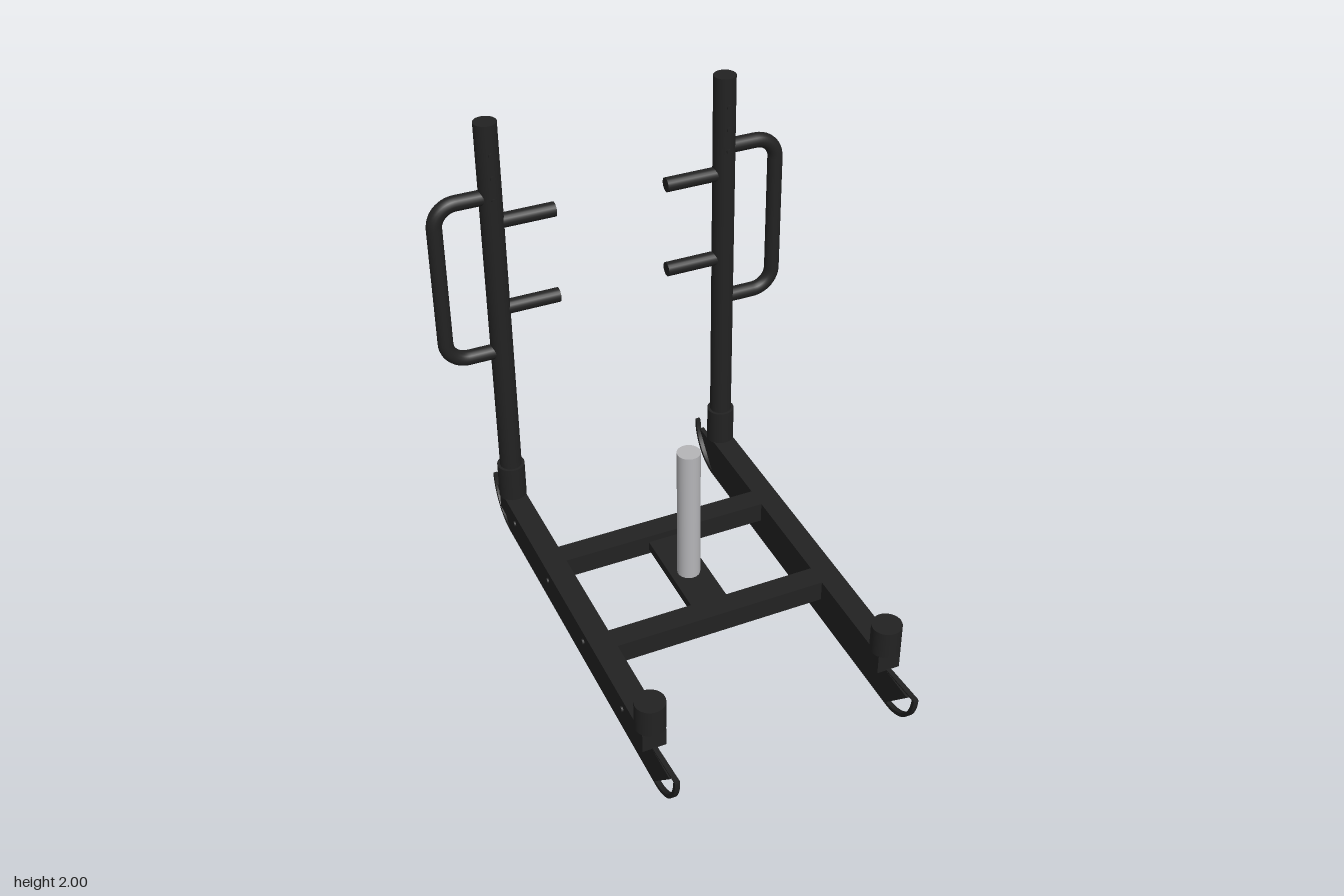
import * as THREE from 'three';

const black = new THREE.MeshStandardMaterial({ color: 0x222222 });
black.name = 'blackSteel';
const silver = new THREE.MeshStandardMaterial({ color: 0xb5b5b8 });
silver.name = 'silverSteel';

const RAIL_X = 0.49, POST_Z = -0.743, SKID = 0.02;

function add(parent, name, geometry, x = 0, y = 0, z = 0, material = black) {
  const mesh = new THREE.Mesh(geometry, material);
  mesh.name = name;
  mesh.position.set(x, y, z);
  parent.add(mesh);
  return mesh;
}

const box = (w, h, d) => new THREE.BoxGeometry(w, h, d);
const rod = (r, length, sides = 32) => new THREE.CylinderGeometry(r, r, length, sides);

// Side profile (drawn as z, y) extruded across x and centred
function sideExtrude(shape, width) {
  const g = new THREE.ExtrudeGeometry(shape, { depth: width, bevelEnabled: false, curveSegments: 20 });
  return g.translate(0, 0, -width / 2).rotateY(-Math.PI / 2);
}

// Tapered plate of the runner
function runnerPlate() {
  return new THREE.Shape([[-0.8, 0.012], [0.8, 0.012], [0.94, 0.165], [-0.94, 0.165]]
    .map(([z, y]) => new THREE.Vector2(z, y)));
}

// Thin ski strip, curled up at both ends
function skiStrip() {
  const s = new THREE.Shape();
  const r = 0.188, t = 0.016, e = 0.8;
  s.moveTo(-e - r, r);
  s.absarc(-e, r, r, Math.PI, Math.PI * 1.5, false);
  s.lineTo(e, 0);
  s.absarc(e, r, r, -Math.PI / 2, 0, false);
  s.lineTo(e + r - t, r);
  s.absarc(e, r, r - t, 0, -Math.PI / 2, true);
  s.lineTo(-e, t);
  s.absarc(-e, r, r - t, Math.PI * 1.5, Math.PI, true);
  s.closePath();
  return s;
}

// Outer push handle with two rounded corners
function handlePath(side) {
  const p = (x, y) => new THREE.Vector3(side * x, y, 0);
  const path = new THREE.CurvePath();
  const out = 0.72, top = 1.69, low = 0.99, r = 0.09;
  path.add(new THREE.LineCurve3(p(RAIL_X, top), p(out - r, top)));
  path.add(new THREE.CubicBezierCurve3(p(out - r, top), p(out - r * 0.45, top), p(out, top - r * 0.45), p(out, top - r)));
  path.add(new THREE.LineCurve3(p(out, top - r), p(out, low + r)));
  path.add(new THREE.CubicBezierCurve3(p(out, low + r), p(out, low + r * 0.45), p(out - r * 0.45, low), p(out - r, low)));
  path.add(new THREE.LineCurve3(p(out - r, low), p(RAIL_X, low)));
  return path;
}

function createSide(side) {
  const g = new THREE.Group();
  g.name = side > 0 ? 'leftSide' : 'rightSide';
  const x = side * RAIL_X;

  // Rail and runner
  add(g, 'rail', box(0.095, 0.09, 1.56), x, 0.21, 0);
  add(g, 'runnerPlate', sideExtrude(runnerPlate(), SKID), x);
  add(g, 'skiStrip', sideExtrude(skiStrip(), SKID), x);
  const brace = add(g, 'tipBrace', box(SKID, 0.006, 0.21), x, 0.178, 0.88);
  brace.rotation.x = -0.1;

  // Sockets and upright
  add(g, 'frontSocket', rod(0.06, 0.12), x, 0.312, 0.743);
  add(g, 'backSocket', rod(0.058, 0.16), x, 0.332, POST_Z);
  add(g, 'upright', rod(0.046, 1.79), x, 1.105, POST_Z);

  // Handle and inner pegs
  add(g, 'pushHandle', new THREE.TubeGeometry(handlePath(side), 96, 0.031, 18), 0, 0, POST_Z);
  for (const y of [1.185, 1.575]) {
    add(g, 'peg', rod(0.03, 0.235, 20).rotateZ(Math.PI / 2), side * 0.353, y, POST_Z);
  }

  // Bolts on the rail and pins on the upright
  for (const z of [-0.59, -0.195, 0.195, 0.59]) {
    add(g, 'railBolt', rod(0.012, 0.02, 12).rotateZ(Math.PI / 2), side * 0.535, 0.21, z);
  }
  for (const y of [1.69, 1.785, 1.88]) {
    add(g, 'uprightPin', rod(0.01, 0.016, 12).rotateX(Math.PI / 2), x, y, POST_Z + 0.044);
  }
  return g;
}

export function createModel() {
  const model = new THREE.Group();
  model.name = 'pushSled';
  model.add(createSide(1), createSide(-1));

  // Cross members, centre plate and weight post
  for (const z of [-0.277, 0.27]) {
    add(model, 'crossMember', box(0.9, 0.09, 0.095), 0, 0.21, z);
  }
  add(model, 'centrePlate', box(0.155, 0.04, 0.47), 0, 0.205, 0);
  add(model, 'weightPost', rod(0.047, 0.61), 0, 0.525, 0, silver);
  return model;
}
